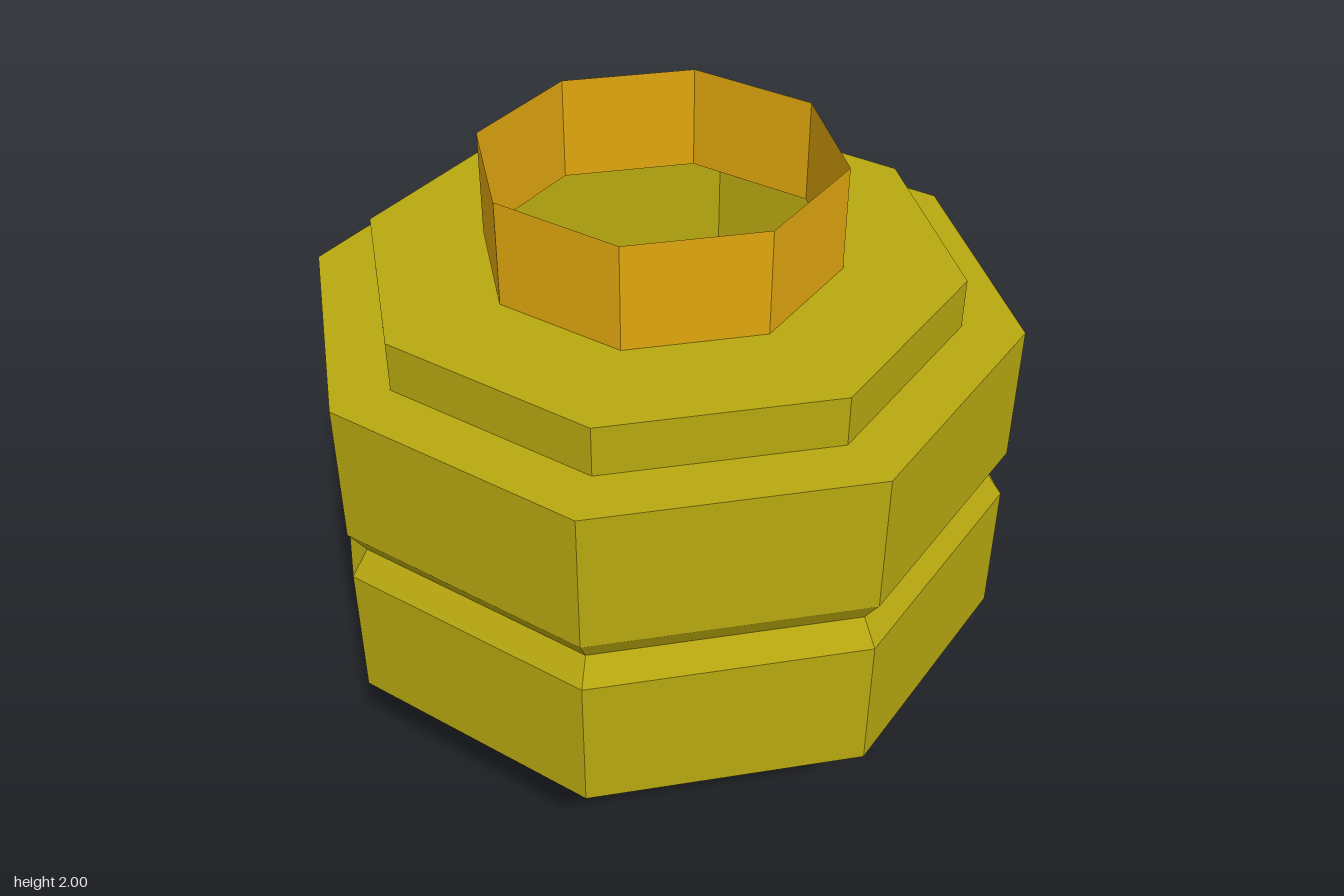
import * as THREE from 'three';

const SIDES = 8;
const toCorner = 1 / Math.cos(Math.PI / SIDES); // flat-to-flat half width -> corner radius

// Octagonal thin shell from [half width, height] points, listed bottom to top
function octagonShell(name, profile, material) {
  const points = profile.map(([r, y]) => new THREE.Vector2(r * toCorner, y));
  const mesh = new THREE.Mesh(new THREE.LatheGeometry(points, SIDES, Math.PI / SIDES), material);
  mesh.name = name;
  return mesh;
}

export function createModel() {
  const model = new THREE.Group();
  model.name = 'steppedOctagonalBarrel';

  const shellMaterial = (color) => {
    const material = new THREE.MeshStandardMaterial({ flatShading: true, side: THREE.DoubleSide });
    material.color.set(color);
    return material;
  };
  const olive = shellMaterial(0xb8a810);
  const orange = shellMaterial(0xe0a60e);

  // Hollow stepped body: lower half mirrored about the groove at y = 1
  const lower = [[0.5, 0.325], [0.83, 0.325], [0.83, 0.48], [1, 0.48], [1, 0.92]];
  const upper = lower.map(([r, y]) => [r, 2 - y]).reverse();
  model.add(octagonShell('body', [...lower, [0.95, 1], ...upper], olive));

  // Open collars at both ends
  model.add(octagonShell('bottomCollar', [[0.5, 0], [0.5, 0.325]], orange));
  model.add(octagonShell('topCollar', [[0.5, 1.675], [0.5, 2]], orange));

  return model;
}
